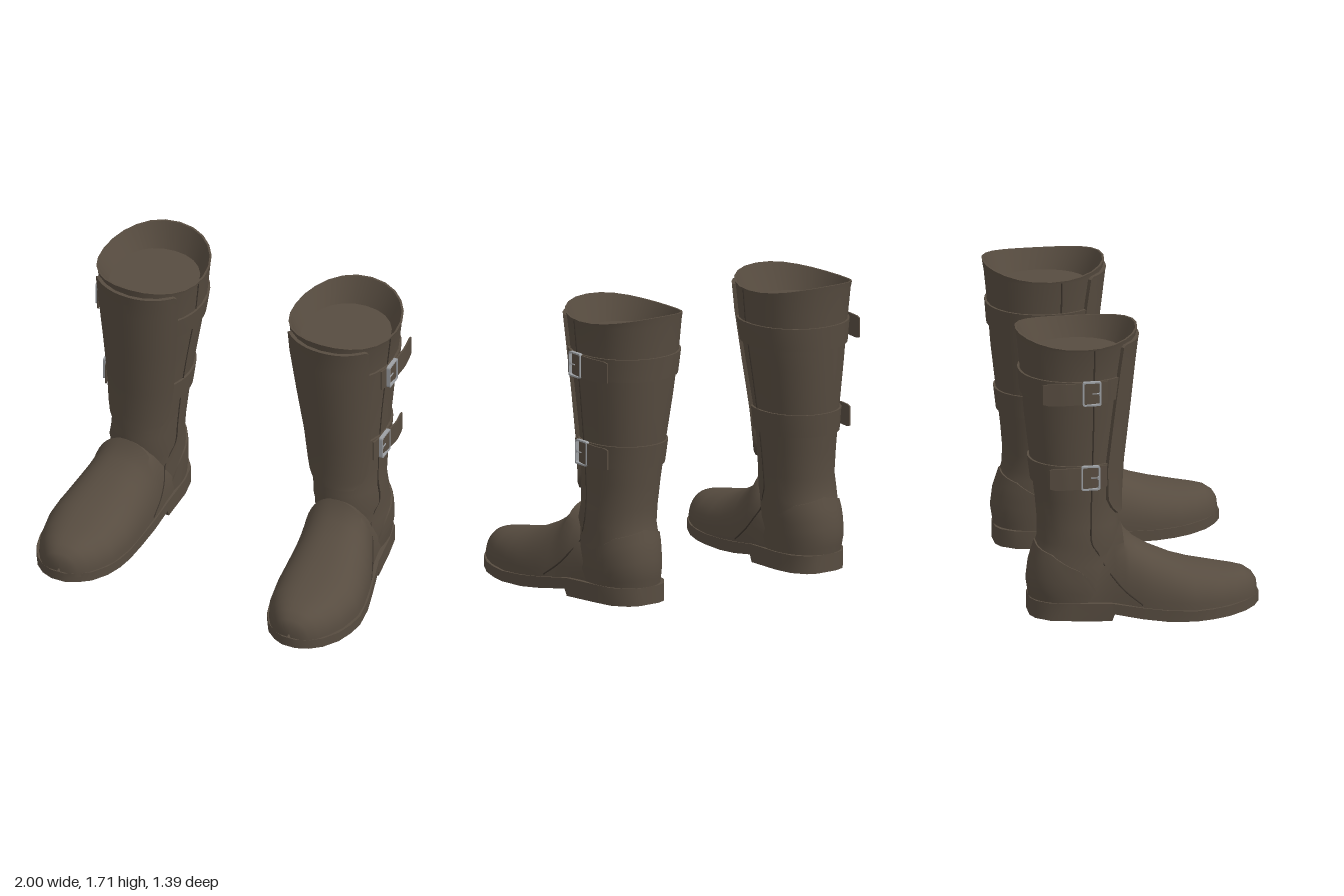
import * as THREE from 'three';
import { toCreasedNormals } from 'three/addons/utils/BufferGeometryUtils.js';

const leather = new THREE.MeshStandardMaterial({ color: 0x574c40 });
const darkSeam = new THREE.MeshStandardMaterial({ color: 0x3c342c });
const metal = new THREE.MeshStandardMaterial({ color: 0x9c9fa3 });

// Horizontal rings of the shaft: y, inner x, outer x, front z, back z
const SHAFT = [
  [0.09, 0.455, 0.845, -0.1, -0.615], [0.2, 0.45, 0.86, -0.1, -0.632], [0.32, 0.445, 0.86, -0.1, -0.617],
  [0.4, 0.445, 0.85, -0.1, -0.59], [0.45, 0.442, 0.855, -0.09, -0.575], [0.55, 0.435, 0.84, -0.1, -0.572],
  [0.7, 0.42, 0.845, -0.1, -0.585], [0.95, 0.39, 0.858, -0.085, -0.615], [1.2, 0.35, 0.88, -0.052, -0.645],
  [1.45, 0.31, 0.905, -0.025, -0.665], [1.65, 0.293, 0.925, -0.002, -0.685], [1.7, 0.29, 0.93, 0.012, -0.695]];

// Upright sections of the foot: z, inner x, outer x, top y
const FOOT = [
  [-0.36, 0.46, 0.845, 0.35], [-0.25, 0.45, 0.858, 0.42], [-0.15, 0.448, 0.878, 0.5], [-0.095, 0.447, 0.898, 0.53],
  [-0.07, 0.447, 0.905, 0.485], [-0.02, 0.45, 0.925, 0.435], [0.06, 0.455, 0.948, 0.385], [0.2, 0.46, 0.978, 0.325],
  [0.3, 0.467, 0.985, 0.295], [0.45, 0.495, 0.96, 0.265], [0.55, 0.54, 0.92, 0.25], [0.61, 0.577, 0.885, 0.238],
  [0.66, 0.622, 0.845, 0.205], [0.682, 0.67, 0.795, 0.17], [0.686, 0.72, 0.74, 0.12]];
const FOOT_BASE = 0.07;

// Sections of the sole: z, inner x, outer x, bottom y, top y
const SOLE = [
  [-0.625, 0.64, 0.64, 0, 0.105], [-0.625, 0.57, 0.71, 0, 0.105], [-0.6, 0.515, 0.77, 0, 0.105],
  [-0.52, 0.458, 0.835, 0, 0.105], [-0.4, 0.438, 0.86, 0, 0.105], [-0.175, 0.437, 0.895, 0, 0.105],
  [-0.16, 0.437, 0.9, 0.042, 0.104], [0, 0.443, 0.942, 0.018, 0.085], [0.15, 0.453, 0.98, 0.006, 0.073],
  [0.3, 0.46, 1, 0.008, 0.07], [0.4, 0.475, 0.987, 0.012, 0.073], [0.5, 0.505, 0.96, 0.018, 0.079],
  [0.6, 0.56, 0.905, 0.028, 0.088], [0.66, 0.625, 0.845, 0.036, 0.096], [0.695, 0.69, 0.775, 0.042, 0.102],
  [0.695, 0.73, 0.73, 0.042, 0.102]];

// Linear lookup of a table row by its first column
function at(table, k) {
  let i = 1;
  while (i < table.length - 1 && table[i][0] < k) i++;
  const a = table[i - 1], b = table[i];
  const t = THREE.MathUtils.clamp((k - a[0]) / (b[0] - a[0]), 0, 1);
  return a.map((v, j) => v + (b[j] - v) * t);
}

// Surface through points fn(i, j); i x j points outward
function grid(nu, nv, fn, crease = 0.75) {
  const pos = [], idx = [];
  for (let j = 0; j <= nv; j++) for (let i = 0; i <= nu; i++) pos.push(...fn(i, j));
  for (let j = 0; j < nv; j++) for (let i = 0; i < nu; i++) {
    const a = j * (nu + 1) + i, b = a + 1, c = a + nu + 1, d = c + 1;
    idx.push(a, b, d, a, d, c);
  }
  const g = new THREE.BufferGeometry();
  g.setAttribute('position', new THREE.Float32BufferAttribute(pos, 3));
  g.setIndex(idx);
  return toCreasedNormals(g, crease);
}

// Point on the shaft; angle 0 is the front, a quarter turn is the outer side
function onShaft(y, a, off = 0, k = 1) {
  const [, l, r, f, b] = at(SHAFT, y);
  const bow = (v) => Math.sign(v) * Math.abs(v) ** 0.94;
  return [(l + r) / 2 + bow(Math.sin(a)) * ((r - l) / 2 + off) * k, y,
    (f + b) / 2 + bow(Math.cos(a)) * ((f - b) / 2 + off) * k];
}

// Raised piece lying on the shaft, its edges turned down into the leather
function patch(nu, nv, off, fn) {
  return grid(nu + 2, nv + 2, (i, j) => {
    const u = THREE.MathUtils.clamp(i - 1, 0, nu) / nu, v = THREE.MathUtils.clamp(j - 1, 0, nv) / nv;
    const edge = i === 0 || j === 0 || i === nu + 2 || j === nv + 2;
    const [y, a] = fn(u, v);
    return onShaft(y, a, edge ? -0.006 : off);
  });
}

// Outermost x of shaft or foot at a height and depth; side +1 outer, -1 inner
function sideX(y, z, side) {
  const [, l, r, f, b] = at(SHAFT, y);
  const c = THREE.MathUtils.clamp((z - (f + b) / 2) / ((f - b) / 2), -1, 1);
  let x = side * (l + r) / 2 + Math.sin(Math.acos(c)) * (r - l) / 2;
  const [, fl, fr, top] = at(FOOT, z), h = (y - FOOT_BASE) / (top - FOOT_BASE);
  if (z > -0.36 && h < 1) x = Math.max(x, side * (fl + fr) / 2 + (1 - h ** 2.4) ** (1 / 2.4) * (fr - fl) / 2);
  return side * x;
}

function buildBoot() {
  const boot = new THREE.Group();
  const add = (name, geo, mat = leather) => {
    const m = new THREE.Mesh(geo, mat);
    m.name = name;
    boot.add(m);
    return m;
  };
  const rad = THREE.MathUtils.degToRad;

  // Shaft, turned over the rim and closed by an inner floor
  const rows = [...SHAFT.map((s) => [s[0], 0, 1]), [1.7, -0.012, 1], [1.55, -0.052, 1], [1.55, -0.052, 0]];
  add('shaft', grid(24, rows.length - 1, (i, j) => {
    const [y, off, k] = rows[j], p = onShaft(y, i / 24 * Math.PI * 2, off, k);
    if (y === 1.7) p[1] = 1.663 + 0.047 * Math.cos(i / 24 * Math.PI * 2) ** 2;
    return p;
  }));

  // Foot
  add('foot', grid(24, FOOT.length - 1, (i, j) => {
    const [z, l, r, top] = FOOT[j], t = i / 24 * Math.PI, c = Math.cos(t), e = 2 / 2.4;
    return [(l + r) / 2 + Math.sign(c) * Math.abs(c) ** e * (r - l) / 2,
      FOOT_BASE + Math.max(Math.sin(t), 0) ** e * (top - FOOT_BASE), z];
  }, 0.95));

  // Sole with heel block
  add('sole', grid(4, SOLE.length - 1, (i, j) => {
    const [z, l, r, b, t] = SOLE[j];
    return [[r, b, z], [r, t, z], [l, t, z], [l, b, z], [r, b, z]][i];
  }, 0.6));

  // Front panel: y and half angle of each row
  const panel = [[0.61, 32], [0.655, 46], [0.71, 54], [0.9, 57], [1.2, 54], [1.5, 51], [1.645, 49], [1.66, 46]];
  add('frontPanel', patch(14, panel.length - 1, 0.02, (u, v) => {
    const [y, half] = panel[Math.round(v * (panel.length - 1))];
    return [y, rad(half) * (2 * u - 1)];
  }));

  // Heel counter: top edge by angle from the back
  const counterTop = [[0, 0.43], [50, 0.39], [95, 0.29], [120, 0.11]];
  add('heelCounter', patch(24, 6, 0.008, (u, v) => {
    const d = (u - 0.5) * 240;
    return [0.09 + v * (at(counterTop, Math.abs(d))[1] - 0.09), rad(180 + d)];
  }));

  // Side seams running down to the sole
  const path = [[1.655, -0.28], [1.4, -0.28], [1.1, -0.28], [0.8, -0.285], [0.6, -0.288], [0.46, -0.285],
    [0.4, -0.25], [0.33, -0.215], [0.25, -0.16], [0.18, -0.1], [0.1, 0]];
  for (const side of [1, -1]) {
    const pts = path.map(([y, z]) => new THREE.Vector3(sideX(y, z, side), y, z));
    add('sideSeam', new THREE.TubeGeometry(new THREE.CatmullRomCurve3(pts), 60, 0.005, 5), darkSeam);
  }

  // Straps: centre height, loose end z, buckle x, and loose end path (z, x)
  const straps = [
    { y: 1.397, x: 0.913, end: [[-0.58, 0.908], [-0.45, 0.926], [-0.33, 0.922], [-0.2, 0.9]] },
    { y: 0.87, x: 0.866, end: [[-0.535, 0.872], [-0.44, 0.887], [-0.33, 0.878], [-0.2, 0.85]] }];
  for (const s of straps) {
    add('strap', patch(30, 2, 0.012, (u, v) => [s.y - 0.068 + v * 0.136, rad(42 + u * 276)]));

    // Loose strap end
    const z0 = s.end[0][0], len = -0.2 - z0;
    const flap = new THREE.BoxGeometry(0.01, 0.13, len, 1, 1, 12);
    const p = flap.attributes.position;
    for (let i = 0; i < p.count; i++) {
      const z = p.getZ(i) + z0 + len / 2;
      const taper = z < z0 + 0.01 ? 0.88 : 1;
      p.setXYZ(i, p.getX(i) + at(s.end, z)[1], s.y + p.getY(i) * taper, z);
    }
    add('strapEnd', toCreasedNormals(flap, 0.7));

    // Buckle frame and prong
    const rect = (T, w, h, r) => {
      const q = new T();
      q.moveTo(-w + r, -h).lineTo(w - r, -h).quadraticCurveTo(w, -h, w, -h + r).lineTo(w, h - r)
        .quadraticCurveTo(w, h, w - r, h).lineTo(-w + r, h).quadraticCurveTo(-w, h, -w, h - r)
        .lineTo(-w, -h + r).quadraticCurveTo(-w, -h, -w + r, -h);
      return q;
    };
    const frame = rect(THREE.Shape, 0.055, 0.073, 0.015);
    frame.holes.push(rect(THREE.Path, 0.046, 0.064, 0.01));
    const frameGeo = new THREE.ExtrudeGeometry(frame, { depth: 0.022, bevelEnabled: false, curveSegments: 4 });
    add('buckle', frameGeo.rotateY(Math.PI / 2).translate(s.x, s.y, -0.297), metal);
    const prong = new THREE.CylinderGeometry(0.004, 0.004, 0.05, 6).rotateX(Math.PI / 2);
    add('buckleProng', prong.translate(s.x + 0.017, s.y, -0.27), metal);
    const pin = new THREE.CylinderGeometry(0.004, 0.004, 0.022, 6);
    add('buckleProngBase', pin.translate(s.x + 0.017, s.y, -0.253), metal);
  }
  return boot;
}

export function createModel() {
  const model = new THREE.Group();
  model.name = 'boots';
  const left = buildBoot();
  left.name = 'leftBoot';
  const right = left.clone();
  right.name = 'rightBoot';
  right.scale.x = -1;
  model.add(left, right);
  return model;
}
